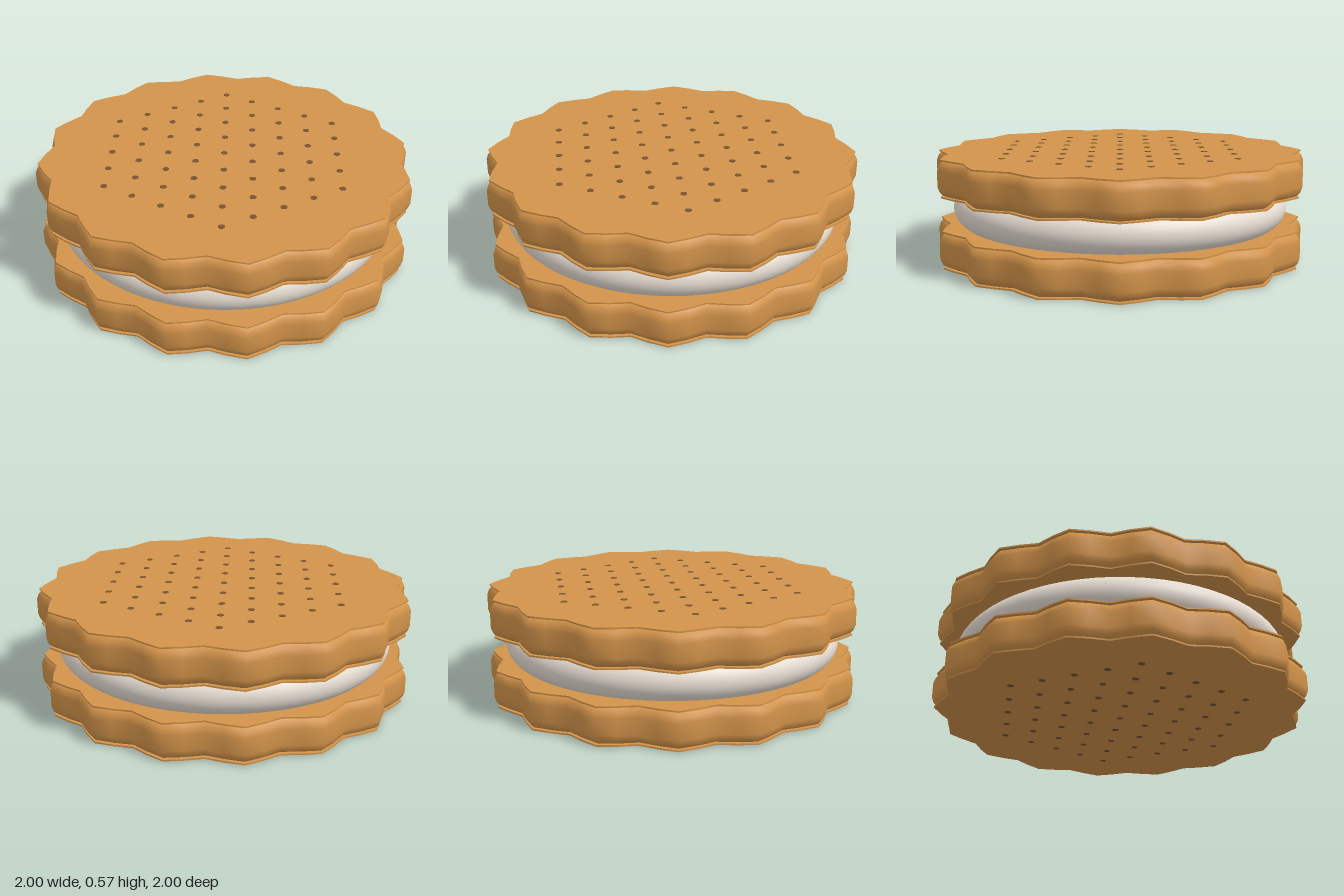
import * as THREE from 'three';
import { mergeVertices } from 'three/addons/utils/BufferGeometryUtils.js';

const biscuit = new THREE.MeshStandardMaterial({ color: 0xd2934a });
biscuit.name = 'baked biscuit';
const cream = new THREE.MeshStandardMaterial({ color: 0xeee5da });
cream.name = 'vanilla cream';
const hole = new THREE.MeshStandardMaterial({ color: 0x7a5433 });
hole.name = 'dark holes';

const LOBES = 16;

// Turned profile (bottom to top), optionally pushed in and out into scallops
function turned(profile, scalloped) {
  let geo = new THREE.LatheGeometry(profile.map(([r, y]) => new THREE.Vector2(r, y)), 64);
  const p = geo.attributes.position;
  if (scalloped) {
    for (let i = 0; i < p.count; i++) {
      const s = 0.968 + 0.032 * Math.cos(LOBES * Math.atan2(p.getX(i), p.getZ(i)));
      p.setX(i, p.getX(i) * s);
      p.setZ(i, p.getZ(i) * s);
    }
  }
  geo.deleteAttribute('uv');
  geo.deleteAttribute('normal');
  geo = mergeVertices(geo, 1e-5);
  geo.computeVertexNormals();
  return geo;
}

function add(parent, name, geo, mat, y = 0) {
  const mesh = new THREE.Mesh(geo, mat);
  mesh.name = name;
  mesh.position.y = y;
  parent.add(mesh);
  return mesh;
}

// Rounded scalloped rim, closed by thin faces with a small lip
const rimGeo = turned([[0.962, 0.01], [0.976, 0.017], [0.99, 0.032], [1, 0.06],
  [1, 0.143], [0.99, 0.171], [0.976, 0.186], [0.962, 0.193]], true);
const lipGeo = turned([[0.984, -0.004], [0.984, 0.004]], true);
const faceGeo = turned([[0.984, 0], [0.0001, 0]], true);
const holeGeo = new THREE.CylinderGeometry(0.018, 0.018, 0.006, 8);

// Hexagonal field of small round holes
function addHoles(parent, y) {
  const field = new THREE.Group();
  field.name = 'holes';
  for (let row = -4; row <= 4; row++) {
    const n = 9 - Math.abs(row);
    for (let i = 0; i < n; i++) {
      const dot = add(field, 'hole', holeGeo, hole, y);
      dot.position.x = (i - (n - 1) / 2) * 0.173;
      dot.position.z = row * 0.15;
    }
  }
  parent.add(field);
}

function makeBiscuit(name, y) {
  const g = new THREE.Group();
  g.name = name;
  g.position.y = y;
  add(g, 'rim', rimGeo, biscuit);
  for (const top of [true, false]) {
    const cap = new THREE.Group();
    cap.name = top ? 'topFace' : 'bottomFace';
    cap.position.y = top ? 0.197 : 0.006;
    if (!top) cap.rotation.x = Math.PI;
    add(cap, 'lip', lipGeo, biscuit);
    add(cap, 'face', faceGeo, biscuit, 0.004);
    add(cap, 'innerFace', faceGeo, biscuit, -0.004).rotation.x = Math.PI;
    addHoles(cap, 0.003);
    g.add(cap);
  }
  return g;
}

export function createModel() {
  const model = new THREE.Group();
  model.name = 'sandwichBiscuit';
  model.add(makeBiscuit('lowerBiscuit', 0));
  model.add(makeBiscuit('upperBiscuit', 0.372));

  // Bulging cream filling
  const bulge = [];
  for (let i = 0; i <= 12; i++) {
    const t = -1 + i / 6;
    bulge.push([0.78 + 0.12 * Math.sqrt(1 - 0.68 * t * t), 0.2875 + 0.0885 * t]);
  }
  add(model, 'creamFilling', turned(bulge, false), cream);
  return model;
}
